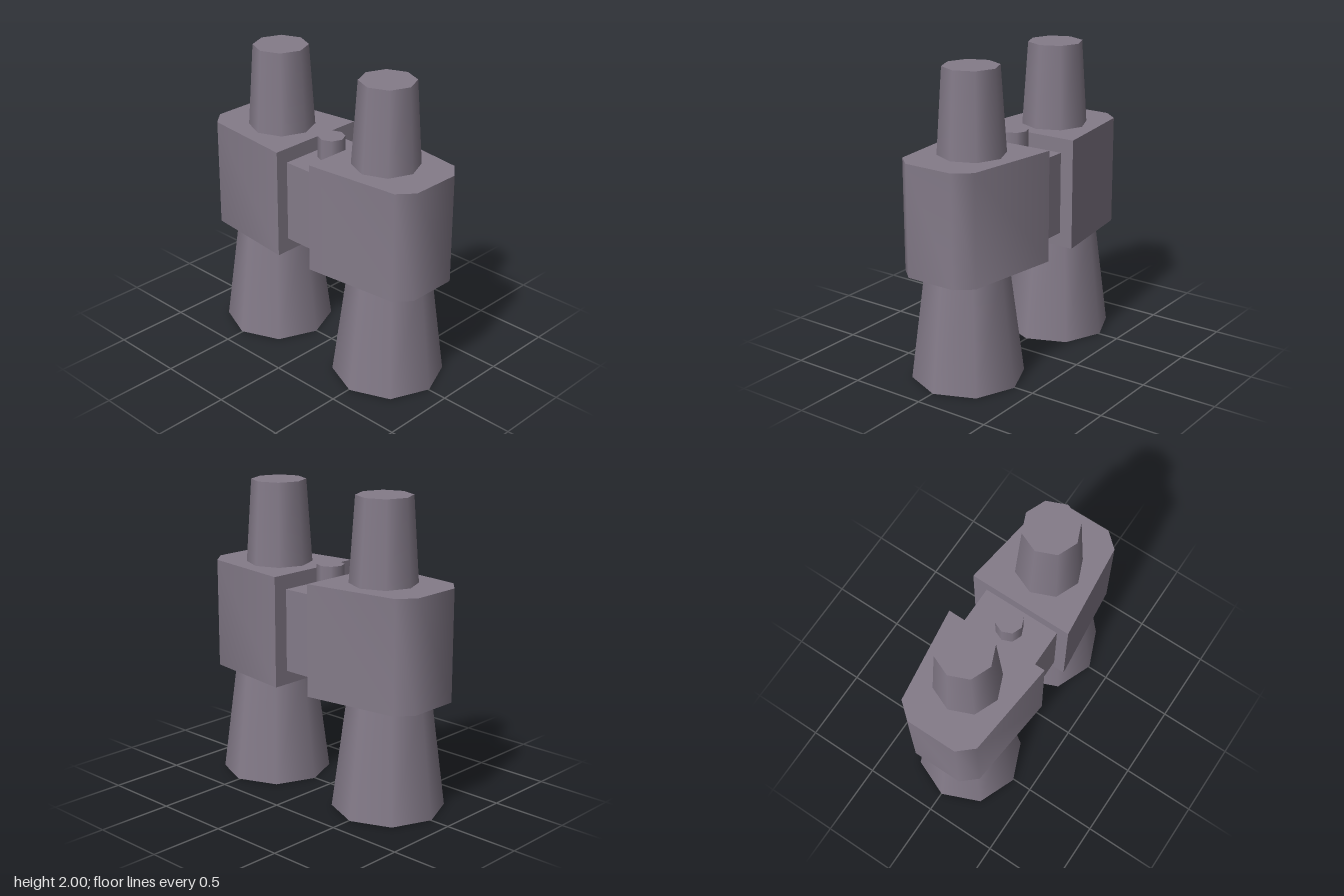
import * as THREE from 'three';
import { toCreasedNormals } from 'three/addons/utils/BufferGeometryUtils.js';

export function createModel() {
  const model = new THREE.Group();
  model.name = 'binoculars';
  const casing = new THREE.MeshStandardMaterial({ color: 0x847b89 });
  casing.name = 'casingGrey';

  const add = (name, geometry, parent = model) => {
    const mesh = new THREE.Mesh(geometry, casing);
    mesh.name = name;
    parent.add(mesh);
    return mesh;
  };

  // Eight-sided, smooth-shaded tube between two heights
  const tube = (name, x, z, y0, y1, r0, r1, parent) =>
    add(name, new THREE.CylinderGeometry(r1, r0, y1 - y0, 8), parent)
      .position.set(x, (y0 + y1) / 2, z);

  // Upright prism from an [x, z] outline, soft at the shallow bends
  const prism = (name, outline, y0, y1, parent) => {
    const shape = new THREE.Shape(outline.map(([x, z]) => new THREE.Vector2(x, -z)));
    const geometry = new THREE.ExtrudeGeometry(shape, { depth: y1 - y0, bevelEnabled: false });
    geometry.rotateX(-Math.PI / 2).translate(0, y0, 0);
    add(name, toCreasedNormals(geometry, Math.PI / 3), parent);
  };

  // Two barrels, each with prism housing, objective and eyepiece;
  // the two sides are very slightly offset in depth
  const barrels = [
    { name: 'left', side: 1, dz: -0.006, inner: 0.135 },
    { name: 'right', side: -1, dz: 0.002, inner: 0.14 },
  ];
  for (const { name, side, dz, inner } of barrels) {
    const barrel = new THREE.Group();
    barrel.name = name + 'Barrel';
    model.add(barrel);
    const back = dz - 0.008, front = dz + 0.003;
    prism(name + 'Housing', [
      [inner, back - 0.35], [0.773, back - 0.262], [0.862, back - 0.155],
      [0.862, front + 0.174], [0.773, front + 0.275], [inner, front + 0.34],
    ].map(([x, z]) => [side * x, z]), 0.73, 1.455, barrel);
    tube(name + 'Objective', side * 0.506, dz + 0.001, 0, 0.74, 0.361, 0.265, barrel);
    tube(name + 'Eyepiece', side * 0.454, dz - 0.005, 1.445, 2, 0.217, 0.179, barrel);
  }

  // Central hinge block and its axle
  add('hingeBlock', new THREE.BoxGeometry(0.277, 0.54, 0.525)).position.set(-0.002, 1.09, -0.003);
  tube('hingeAxle', -0.003, -0.002, 0.685, 1.503, 0.089, 0.089);

  return model;
}
